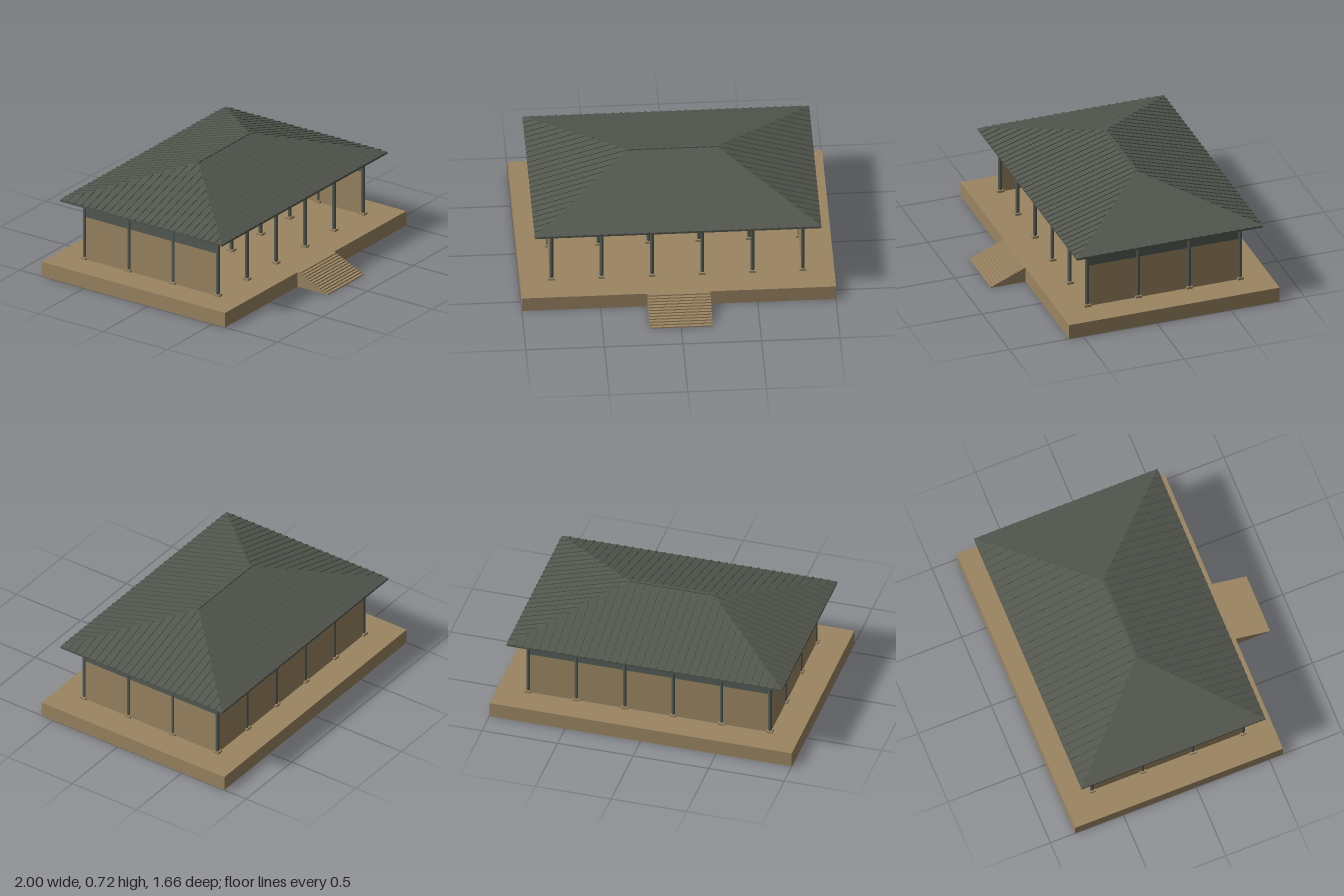
import * as THREE from 'three';

const tan = new THREE.MeshStandardMaterial({ color: 0x9b8562 });
tan.name = 'tan stone and plaster';
const timber = new THREE.MeshStandardMaterial({ color: 0x545b55 });
timber.name = 'grey green timber';
const tile = new THREE.MeshStandardMaterial({ color: 0x53574e });
tile.name = 'dark roof tile';

// Box given by its limits on each axis
function box(parent, name, material, x0, x1, y0, y1, z0, z1) {
  const mesh = new THREE.Mesh(new THREE.BoxGeometry(x1 - x0, y1 - y0, z1 - z0), material);
  mesh.position.set((x0 + x1) / 2, (y0 + y1) / 2, (z0 + z1) / 2);
  mesh.name = name;
  parent.add(mesh);
  return mesh;
}

const FLOOR = 0.1, BEAM = 0.49, EAVE = 0.507;
const colX = [-0.8, -0.48, -0.16, 0.16, 0.48, 0.8];
const colZ = [0.4, 0.055, -0.29, -0.635];

function makeBase() {
  const g = new THREE.Group();
  g.name = 'base';
  box(g, 'platform', tan, -1, 1, 0, FLOOR, -0.83, 0.595);
  // Twelve stacked treads, the lowest reaching furthest forward
  const n = 12, run = 0.235 / n;
  for (let i = 0; i < n; i++) {
    box(g, 'step', tan, -0.2, 0.2, FLOOR * i / n, FLOOR * (i + 1) / n, 0.595, 0.83 - i * run);
  }
  box(g, 'dais', timber, -0.335, 0.335, FLOOR, 0.123, -0.58, -0.32);
  return g;
}

function makeColumns() {
  const g = new THREE.Group();
  g.name = 'columns';
  const shaft = new THREE.CylinderGeometry(0.0125, 0.0125, EAVE - FLOOR, 12);
  for (const x of colX) for (const z of colZ) {
    const column = new THREE.Mesh(shaft, timber);
    column.name = 'column';
    column.position.set(x, (EAVE + FLOOR) / 2, z);
    g.add(column);
    box(g, 'columnFoot', tan, x - 0.021, x + 0.021, FLOOR, 0.115, z - 0.021, z + 0.021);
  }
  // Beams along every row of columns
  for (const z of colZ) box(g, 'longBeam', timber, -0.8, 0.8, BEAM, EAVE, z - 0.01, z + 0.01);
  for (const x of colX) box(g, 'crossBeam', timber, x - 0.01, x + 0.01, BEAM, EAVE, -0.635, 0.4);
  return g;
}

function makeWalls() {
  const g = new THREE.Group();
  g.name = 'walls';
  const t = 0.005;
  // Plaster below, timber band above; the front stays open
  for (const [name, mat, y0, y1] of [['wall', tan, FLOOR, 0.392], ['wallBand', timber, 0.392, EAVE]]) {
    box(g, name, mat, -0.8, 0.8, y0, y1, -0.635 - t, -0.635 + t);
    for (const s of [-1, 1]) box(g, name, mat, s * 0.8 - t, s * 0.8 + t, y0, y1, -0.635, 0.4);
  }
  return g;
}

function makeRoof() {
  const g = new THREE.Group();
  g.name = 'roof';
  g.position.z = -0.12;
  const hx = 0.912, hz = 0.63, edge = 0.52, top = 0.712, ridge = hx - hz;
  box(g, 'eaveSlab', tile, -hx, hx, EAVE, edge, -hz, hz);

  // Hipped faces: front, right, back, left
  const A = [-hx, edge, hz], B = [hx, edge, hz], C = [hx, edge, -hz], D = [-hx, edge, -hz];
  const L = [-ridge, top, 0], R = [ridge, top, 0];
  const faces = [A, B, R, A, R, L, B, C, R, C, D, L, C, L, R, D, A, L];
  const geo = new THREE.BufferGeometry();
  geo.setAttribute('position', new THREE.Float32BufferAttribute(faces.flat(), 3));
  geo.computeVertexNormals();
  const hips = new THREE.Mesh(geo, tile);
  hips.name = 'roofSlopes';
  g.add(hips);

  // Raised ribs running up each slope until they meet the hip or ridge
  for (let k = 0; k < 4; k++) {
    const slope = new THREE.Group();
    slope.name = 'roofRibs';
    slope.rotation.y = k * Math.PI / 2;
    const long = k % 2 === 0;
    const half = long ? hx : hz, out = long ? hz : hx;
    const angle = Math.atan2(top - edge, hz);
    const n = long ? 35 : 24;
    for (let i = 0; i <= n; i++) {
      const x = (half - 0.006) * (2 * i / n - 1);
      const d = Math.min(hz, half - Math.abs(x));
      if (d < 0.02) continue;
      const rib = new THREE.Mesh(new THREE.BoxGeometry(0.012, 0.01, d / Math.cos(angle)), tile);
      rib.name = 'rib';
      rib.position.set(x, edge + Math.tan(angle) * d / 2, out - d / 2);
      rib.rotation.x = angle;
      slope.add(rib);
    }
    g.add(slope);
  }
  box(g, 'ridgeCap', tile, -ridge - 0.01, ridge + 0.01, top - 0.012, top + 0.006, -0.008, 0.008);
  return g;
}

export function createModel() {
  const model = new THREE.Group();
  model.name = 'pavilion';
  model.add(makeBase(), makeColumns(), makeWalls(), makeRoof());
  return model;
}
